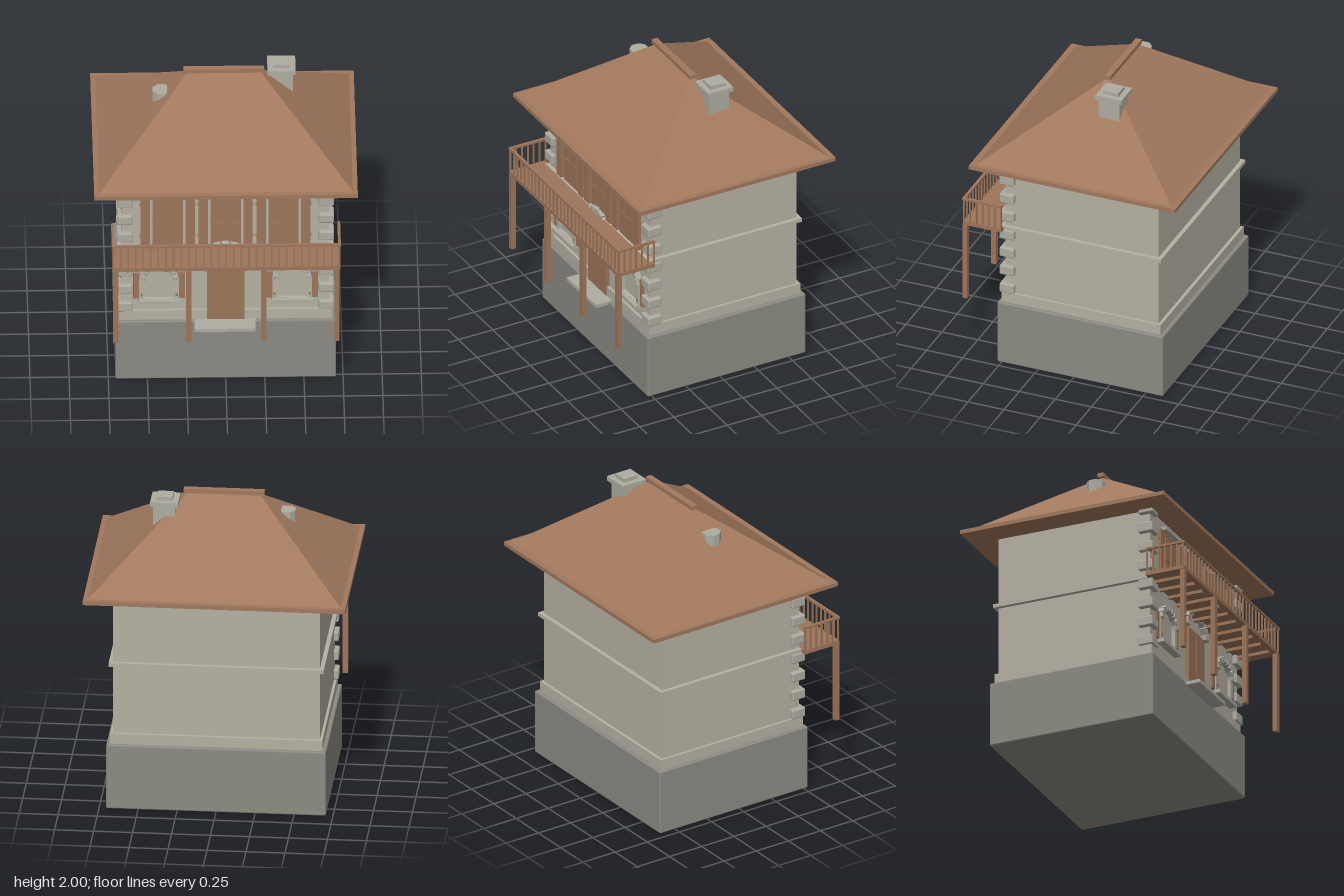
import * as THREE from 'three';
import { RoundedBoxGeometry } from 'three/addons/geometries/RoundedBoxGeometry.js';

const mat = (name, color) => {
  const m = new THREE.MeshStandardMaterial({ color });
  m.name = name;
  return m;
};

export function createModel() {
  const house = new THREE.Group();
  house.name = 'house';
  const plaster = mat('plaster', 0xb5b0a2);
  const stone = mat('stone', 0xaeaca1);
  const foundationGrey = mat('foundation grey', 0x8b8a82);
  const wood = mat('wood', 0x9d755a);
  const roofBrown = mat('roof brown', 0xa1785d);

  const add = (name, geo, material, parent = house) => {
    const m = new THREE.Mesh(geo, material);
    m.name = name;
    parent.add(m);
    return m;
  };
  // Box given by its limits on each axis
  const box = (name, x0, x1, y0, y1, z0, z1, material, parent) => {
    const m = add(name, new THREE.BoxGeometry(x1 - x0, y1 - y0, z1 - z0), material, parent);
    m.position.set((x0 + x1) / 2, (y0 + y1) / 2, (z0 + z1) / 2);
    return m;
  };
  const bevelBox = (name, x0, x1, y0, y1, z0, z1, r, material, parent) => {
    const m = add(name, new RoundedBoxGeometry(x1 - x0, y1 - y0, z1 - z0, 2, r), material, parent);
    m.position.set((x0 + x1) / 2, (y0 + y1) / 2, (z0 + z1) / 2);
    return m;
  };
  const group = (name) => {
    const g = new THREE.Group();
    g.name = name;
    house.add(g);
    return g;
  };

  // Body
  bevelBox('foundation', -0.705, 0.705, 0, 0.44, -0.62, 0.53, 0.01, foundationGrey);
  box('walls', -0.663, 0.663, 0.43, 1.47, -0.574, 0.49, plaster);
  box('plinth', -0.68, 0.68, 0.435, 0.51, -0.595, 0.508, plaster);
  box('stringCourse', -0.69, 0.69, 0.975, 1.0, -0.602, 0.515, plaster);

  // Corner stones on the front corners
  const quoins = group('cornerStones');
  for (const s of [-1, 1]) {
    for (let i = 0; i < 8; i++) {
      const y = 0.51 + i * 0.1325;
      const a = s * 0.595, b = s * 0.693;
      bevelBox('cornerStone', Math.min(a, b), Math.max(a, b), y, Math.min(y + 0.066, 1.466),
        0.42, 0.52, 0.009, stone, quoins);
    }
  }

  // Hipped roof
  box('eaves', -0.842, 0.842, 1.463, 1.49, -0.763, 0.668, roofBrown);
  const A = [-0.812, 1.489, 0.632], B = [0.812, 1.489, 0.632];
  const C = [0.812, 1.489, -0.727], D = [-0.812, 1.489, -0.727];
  const L = [-0.225, 1.98, -0.045], R = [0.225, 1.98, -0.045];
  const roofGeo = new THREE.BufferGeometry();
  roofGeo.setAttribute('position', new THREE.Float32BufferAttribute(
    [A, B, R, A, R, L, B, C, R, C, D, L, C, L, R, D, A, L].flat(), 3));
  roofGeo.computeVertexNormals();
  add('roof', roofGeo, roofBrown);
  box('ridgeBeam', -0.26, 0.257, 1.972, 2.0, -0.066, -0.024, roofBrown);

  // Chimney and small flue
  const chimney = group('chimney');
  box('chimneyShaft', 0.3, 0.44, 1.8, 1.94, -0.206, -0.062, stone, chimney);
  box('chimneyCap', 0.278, 0.458, 1.935, 1.966, -0.228, -0.046, stone, chimney);
  box('chimneyTop', 0.318, 0.42, 1.966, 1.99, -0.19, -0.084, stone, chimney);
  const flueGeo = new THREE.CylinderGeometry(0.062, 0.062, 0.12, 8).toNonIndexed();
  flueGeo.computeVertexNormals();
  const flue = add('flue', flueGeo, stone);
  flue.position.set(-0.4, 1.803, -0.01);
  flue.rotation.y = Math.PI / 8;

  // Ring of wedge stones over an opening
  const arch = (name, cx, cy, rIn, rOut, count, a0, z0, z1) => {
    const g = group(name);
    const step = (Math.PI - 2 * a0) / count;
    for (let i = 0; i < count; i++) {
      const s = a0 + i * step + step * 0.06, e = a0 + (i + 1) * step - step * 0.06;
      const p = (r, t) => new THREE.Vector2(cx + r * Math.cos(t), cy + r * Math.sin(t));
      const shape = new THREE.Shape([p(rIn, s), p(rOut, s), p(rOut, e), p(rIn, e)]);
      const geo = new THREE.ExtrudeGeometry(shape, {
        depth: z1 - z0 - 0.005, bevelThickness: 0.005, bevelSize: 0.004, bevelOffset: -0.004, bevelSegments: 1,
      });
      geo.translate(0, 0, z0);
      add('archStone', geo, stone, g);
    }
  };

  // Arched ground floor windows with side shutters
  for (const cx of [-0.425, 0.425]) {
    const g = group('archedWindow');
    const outline = (w, y0, target) => {
      target.moveTo(cx - w, y0);
      target.lineTo(cx + w, y0);
      target.lineTo(cx + w, 0.745);
      target.absarc(cx, 0.745, w, 0, Math.PI, false);
      target.lineTo(cx - w, y0);
      return target;
    };
    const frame = outline(0.127, 0.6, new THREE.Shape());
    frame.holes.push(outline(0.092, 0.602, new THREE.Path()));
    const frameGeo = new THREE.ExtrudeGeometry(frame, { depth: 0.025, bevelEnabled: false, curveSegments: 10 });
    frameGeo.translate(0, 0, 0.488);
    add('windowFrame', frameGeo, plaster, g);
    box('windowSill', cx - 0.13, cx + 0.13, 0.576, 0.6, 0.48, 0.54, stone, g);
    for (const s of [-1, 1]) {
      const x = cx + s * 0.143;
      box('windowShutter', x - 0.022, x + 0.022, 0.6, 0.79, 0.488, 0.505, wood, g);
      box('shutterCatch', cx + s * 0.113 - 0.007, cx + s * 0.113 + 0.007, 0.628, 0.644, 0.5, 0.52, wood, g);
    }
    arch('windowArch', cx, 0.745, 0.092, 0.13, 9, 0.05, 0.488, 0.527);
  }

  // Front door with stone arch and step
  const door = group('frontDoor');
  box('doorLeaf', -0.12, 0.12, 0.44, 0.866, 0.48, 0.514, wood, door);
  box('doorMidRail', -0.002, 0.002, 0.45, 0.86, 0.51, 0.517, wood, door);
  arch('doorArch', 0, 0.87, 0.118, 0.168, 9, 0, 0.488, 0.527);
  box('doorStep', -0.2, 0.19, 0.42, 0.443, 0.5, 0.627, stone);

  // Upper balcony doors with lintels and folded shutters
  for (const cx of [-0.37, 0, 0.37]) {
    const g = group('balconyDoor');
    box('balconyDoorLeaf', cx - 0.097, cx + 0.097, 1.0, 1.39, 0.48, 0.5, wood, g);
    for (const s of [-1, 1]) {
      const px = cx + s * 0.048;
      for (const [y0, y1] of [[1.03, 1.17], [1.2, 1.36]])
        box('doorPanel', px - 0.034, px + 0.034, y0, y1, 0.495, 0.505, wood, g);
      const x = cx + s * 0.143;
      box('balconyShutter', x - 0.03, x + 0.03, 1.005, 1.38, 0.485, 0.514, wood, g);
      for (const y of [1.07, 1.31])
        box('shutterHinge', x + s * 0.03 - 0.006, x + s * 0.03 + 0.006, y, y + 0.014, 0.49, 0.51, wood, g);
    }
    box('lintel', cx - 0.125, cx + 0.125, 1.39, 1.414, 0.48, 0.53, stone, g);
  }

  // Balcony
  const balcony = group('balcony');
  box('deck', -0.728, 0.728, 0.974, 1.0, 0.49, 0.757, wood, balcony);
  for (let i = 0; i < 11; i++) {
    const x = -0.63 + i * 0.126;
    box('joist', x - 0.009, x + 0.009, 0.953, 0.976, 0.49, 0.73, wood, balcony);
  }
  for (const x of [-0.707, -0.241, 0.238, 0.707])
    box('post', x - 0.017, x + 0.017, 0.43, 0.976, 0.729, 0.761, wood, balcony);
  box('frontHandrail', -0.732, 0.732, 1.155, 1.17, 0.741, 0.761, wood, balcony);
  const baluster = (x, z) => box('baluster', x - 0.005, x + 0.005, 1.0, 1.157, z - 0.005, z + 0.005, wood, balcony);
  for (let i = 0; i <= 30; i++) baluster(-0.723 + i * 0.0482, 0.751);
  for (const s of [-1, 1]) {
    box('sideHandrail', s * 0.723 - 0.009, s * 0.723 + 0.009, 1.155, 1.17, 0.49, 0.745, wood, balcony);
    for (let i = 0; i < 6; i++) baluster(s * 0.723, 0.496 + i * 0.0425);
  }

  return house;
}
